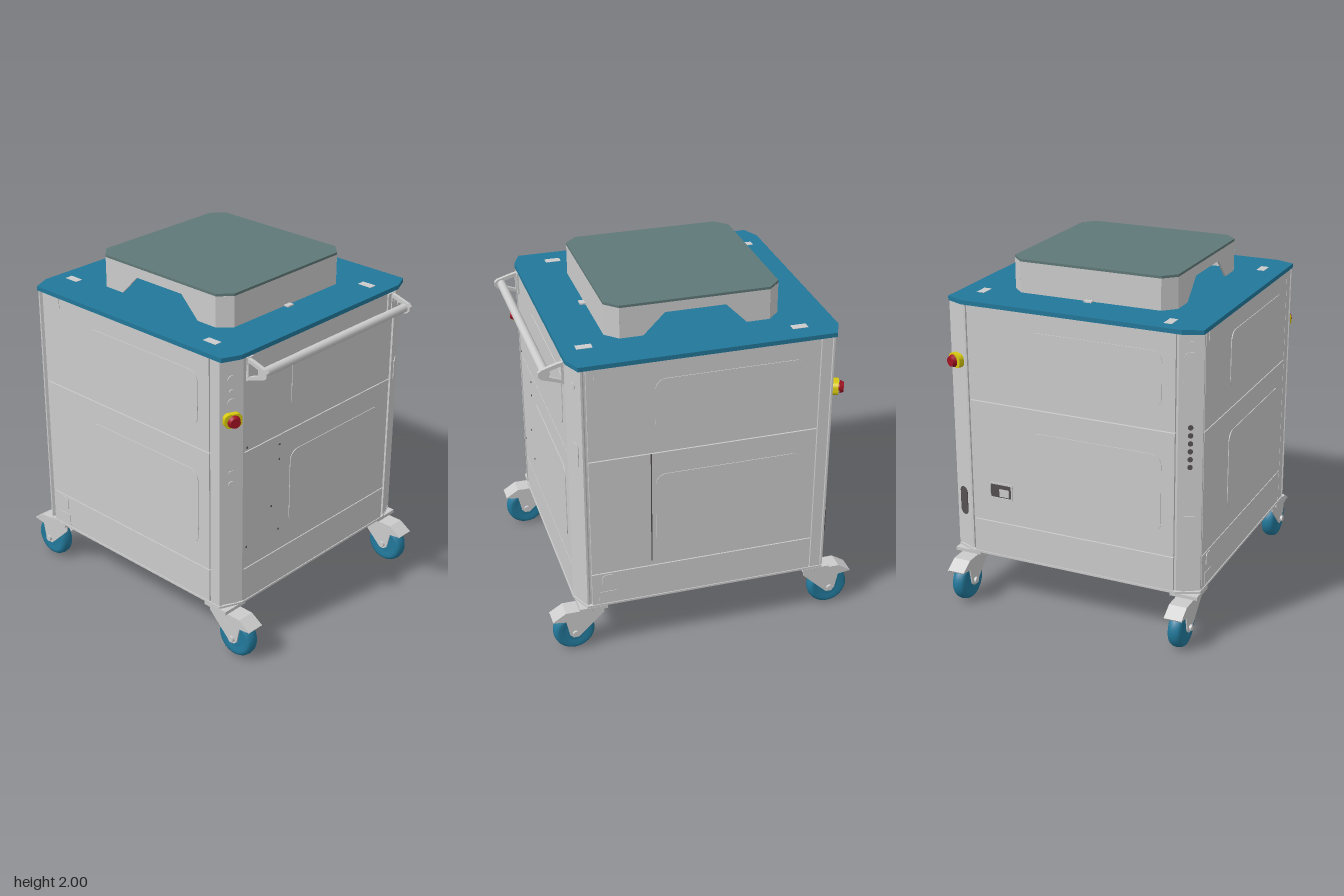
import * as THREE from 'three';

const mat = (color) => new THREE.MeshStandardMaterial({ color });
const GREY = mat(0xcccccc), BLUE = mat(0x22789a), SLATE = mat(0x5f7877);
const YELLOW = mat(0xd6c810), RED = mat(0xa01222), DARK = mat(0x555052), WHITE = mat(0xf2f2f2);

function add(parent, name, geometry, material, x = 0, y = 0, z = 0) {
  const m = new THREE.Mesh(geometry, material);
  m.name = name;
  m.position.set(x, y, z);
  parent.add(m);
  return m;
}
function group(parent, name, x = 0, y = 0, z = 0, rotY = 0) {
  const g = new THREE.Group();
  g.name = name;
  g.position.set(x, y, z);
  g.rotation.y = rotY;
  parent.add(g);
  return g;
}
const box = (w, h, d) => new THREE.BoxGeometry(w, h, d);
const poly = (pts) => new THREE.Shape(pts.map(([x, y]) => new THREE.Vector2(x, y)));
const extrude = (shape, depth) =>
  new THREE.ExtrudeGeometry(shape, { depth, bevelEnabled: false, curveSegments: 8 });
// A plan outline given as [x, z], raised along y
const slab = (pts, h) => extrude(poly(pts.map(([x, z]) => [x, -z])), h).rotateX(-Math.PI / 2);
// Outline in [z, y], thickness t centred on x
const sidePlate = (shape, t) => extrude(shape, t).translate(0, 0, -t / 2).rotateY(-Math.PI / 2);

function roundRect(w, h, r) {
  const s = new THREE.Shape(), a = w / 2, b = h / 2;
  s.absarc(a - r, b - r, r, 0, Math.PI / 2);
  s.absarc(-a + r, b - r, r, Math.PI / 2, Math.PI);
  s.absarc(-a + r, -b + r, r, Math.PI, Math.PI * 1.5);
  s.absarc(a - r, -b + r, r, Math.PI * 1.5, Math.PI * 2);
  s.closePath();
  return s;
}
// Square outline with cut corners: half size a, cut starts at b along x and c along z
const cutSquare = (a, b, c) => [[b, a], [a, c], [a, -c], [b, -a], [-b, -a], [-a, -c], [-a, c], [-b, a]];
// Cylinder standing on the local z = 0 plane
const disc = (r, d, r2 = r) => new THREE.CylinderGeometry(r2, r, d, 28).rotateX(Math.PI / 2).translate(0, 0, d / 2);

// One clad face: u runs to the right, local z is outwards
function cladding(parent, name, rotY, u0, u1, embossL, embossR) {
  const g = group(parent, name, 0, 0, 0, rotY);
  for (const [y0, y1] of [[0.31, 0.51], [0.516, 1.234], [1.24, 1.785]])
    add(g, 'panel', box(u1 - u0, y1 - y0, 0.02), GREY, (u0 + u1) / 2, (y0 + y1) / 2, 0.74);
  for (const [y0, y1] of [[0.64, 1.1], [1.36, 1.68]])
    add(g, 'embossedField', extrude(roundRect(embossR - embossL, y1 - y0, 0.06), 0.004), GREY,
      (embossL + embossR) / 2, (y0 + y1) / 2, 0.75);
  return g;
}

function caster(parent, sx, sz) {
  const g = group(parent, 'caster', sx * 0.675, 0, 0);
  const zs = (pts) => pts.map(([z, y]) => [sz * z, y]);
  add(g, 'mountingPlate', box(0.16, 0.02, 0.16), GREY, 0, 0.287, sz * 0.665);
  add(g, 'swivel', new THREE.CylinderGeometry(0.065, 0.05, 0.03, 28), GREY, 0, 0.264, sz * 0.665);
  const cheek = poly(zs([[0.6, 0.262], [0.82, 0.262], [0.895, 0.215], [0.82, 0.205], [0.8, 0.11],
    [0.78, 0.092], [0.75, 0.092], [0.725, 0.115], [0.6, 0.235]]));
  for (const s of [-1, 1]) {
    add(g, 'forkCheek', sidePlate(cheek, 0.008), GREY, s * 0.048);
    add(g, 'axleNut', new THREE.CylinderGeometry(0.018, 0.018, 0.016, 16).rotateZ(Math.PI / 2), GREY,
      s * 0.058, 0.12, sz * 0.768);
  }
  const roof = poly(zs([[0.6, 0.265], [0.82, 0.265], [0.895, 0.218], [0.89, 0.21], [0.818, 0.255], [0.6, 0.255]]));
  add(g, 'forkRoof', sidePlate(roof, 0.104), GREY);
  const profile = [[0.06, -0.035], [0.09, -0.04], [0.106, -0.036], [0.116, -0.022], [0.12, 0],
    [0.116, 0.022], [0.106, 0.036], [0.09, 0.04], [0.06, 0.035]].map(([r, h]) => new THREE.Vector2(r, h));
  add(g, 'tyre', new THREE.LatheGeometry(profile, 40).rotateZ(Math.PI / 2), BLUE, 0, 0.12, sz * 0.768);
  add(g, 'hub', new THREE.CylinderGeometry(0.062, 0.062, 0.066, 28).rotateZ(Math.PI / 2), BLUE, 0, 0.12, sz * 0.768);
}

function stopButton(post) {
  const g = group(post, 'stopButton', 0, 1.455, 0);
  add(g, 'collar', extrude(roundRect(0.1, 0.078, 0.03), 0.03), YELLOW);
  add(g, 'buttonStem', disc(0.022, 0.045), RED);
  add(g, 'buttonCap', disc(0.036, 0.022, 0.028), RED, 0, 0, 0.036);
}

export function createModel() {
  const root = new THREE.Group();
  root.name = 'mobileCabinet';

  // Cabinet core, floor and top
  add(root, 'core', slab(cutSquare(0.735, 0.66, 0.69), 1.475), GREY, 0, 0.31);
  add(root, 'floorPlate', slab(cutSquare(0.755, 0.63, 0.7), 0.012), GREY, 0, 0.298);
  add(root, 'topPlate', slab(cutSquare(0.755, 0.65, 0.71), 0.025), BLUE, 0, 1.785);

  // Inserts in the top plate
  for (const [x, z] of [[-0.54, -0.64], [0.625, -0.54], [-0.63, 0.53], [0.53, 0.625]])
    add(root, 'topInsert', box(0.046, 0.004, 0.088), GREY, x, 1.81, z);
  for (const s of [-1, 1]) add(root, 'topTab', box(0.046, 0.012, 0.032), GREY, 0, 1.812, s * 0.505);

  // Clad faces
  const front = cladding(root, 'frontPanels', 0, -0.62, 0.615, -0.25, 0.54);
  const back = cladding(root, 'backPanels', Math.PI, -0.62, 0.615, -0.25, 0.54);
  const faces = [cladding(root, 'leftPanels', Math.PI / 2, -0.67, 0.62, -0.3, 0.54),
    cladding(root, 'rightPanels', -Math.PI / 2, -0.67, 0.62, -0.3, 0.54)];
  for (const f of faces) {
    add(f, 'edgeStrip', box(0.07, 1.475, 0.02), GREY, 0.662, 1.0475, 0.739);
    for (const y of [0.355, 1.755])
      add(f, 'cornerPlate', box(0.1, y > 1 ? 0.06 : 0.07, 0.004), GREY, -0.58, y, 0.751);
    add(f, 'sidePort', extrude(roundRect(0.07, 0.08, 0.02), 0.004), GREY, -0.575, 0.46, 0.75);
  }
  add(faces[0], 'doorSeam', box(0.006, 0.69, 0.003), DARK, -0.325, 0.89, 0.75);
  const inlet = group(back, 'powerInlet', -0.44, 0.71, 0.75);
  const frame = roundRect(0.15, 0.1, 0.012);
  frame.holes.push(roundRect(0.13, 0.08, 0.008));
  add(inlet, 'inletFrame', extrude(frame, 0.006), GREY);
  add(inlet, 'inletRecess', box(0.13, 0.08, 0.002), DARK);
  add(inlet, 'inletSocket', box(0.06, 0.045, 0.006), GREY, 0.02, -0.01, 0.002);
  for (const [x, y] of [[-0.34, 1.18], [-0.34, 1.09], [-0.4, 0.82], [-0.34, 0.65], [-0.6, 1.26], [-0.6, 0.65]])
    add(front, 'panelScrew', disc(0.006, 0.003), DARK, x, y, 0.75);

  // Angled corner posts
  const posts = {};
  for (const sx of [-1, 1]) for (const sz of [-1, 1]) {
    const plan = [[0.625, 0.755], [0.635, 0.755], [0.755, 0.7], [0.755, 0.69], [0.7, 0.66], [0.625, 0.7]];
    add(root, 'cornerPost', slab(plan.map(([x, z]) => [x * sx, z * sz]), 1.465), GREY, 0, 0.32);
    posts[`${sx},${sz}`] = group(root, 'postFittings', sx * 0.695, 0, sz * 0.7275,
      Math.atan2(sx * 0.417, sz * 0.909));
  }
  const slot = (post, name, y, w, h, material = GREY) =>
    add(post, name, extrude(roundRect(w, h, Math.min(w, h) * 0.45), 0.004), material, 0, y, 0);
  const control = posts['-1,1'], backRight = posts['1,-1'], plain = posts['1,1'], service = posts['-1,-1'];
  stopButton(control);
  stopButton(backRight);
  for (const [y, r] of [[1.68, 0.022], [1.61, 0.014], [1.55, 0.022], [1.07, 0.018]])
    add(control, 'indicator', disc(r, 0.006), WHITE, 0, y);
  slot(control, 'switch', 1.14, 0.03, 0.02);
  add(plain, 'lock', disc(0.02, 0.005), GREY, 0, 1.68);
  slot(plain, 'gripInsert', 1.27, 0.065, 0.15);
  slot(backRight, 'gripInsert', 0.6, 0.065, 0.17, DARK);
  add(service, 'lock', disc(0.02, 0.005), GREY, 0, 1.73);
  slot(service, 'gripInsert', 1.52, 0.08, 0.34);
  for (let i = 0; i < 6; i++) add(service, 'connector', disc(0.014, 0.006), DARK, 0, 1.05 + i * 0.045);
  for (const x of [-0.02, 0.02]) for (const y of [0.84, 0.91])
    add(service, 'dataSocket', box(0.026, 0.05, 0.006), WHITE, x, y, 0.002);
  add(service, 'mainsSocket', box(0.06, 0.13, 0.006), GREY, 0, 0.7, 0.002);

  // Push handle with looped triangular brackets
  const loop = poly([[0.745, 1.78], [0.79, 1.77], [0.87, 1.745], [0.887, 1.73], [0.887, 1.705],
    [0.87, 1.69], [0.79, 1.665], [0.745, 1.65]]);
  loop.holes.push(poly([[0.765, 1.755], [0.765, 1.675], [0.83, 1.7], [0.83, 1.735]]));
  const handle = group(root, 'pushHandle');
  for (const s of [-1, 1]) {
    add(handle, 'handleBracket', sidePlate(loop, 0.022), GREY, s * 0.598);
    add(handle, 'bracketFoot', box(0.05, 0.13, 0.01), GREY, s * 0.585, 1.715, 0.754);
  }
  add(handle, 'handleBar', new THREE.CylinderGeometry(0.025, 0.025, 1.2, 28).rotateZ(Math.PI / 2), GREY, 0, 1.717, 0.848);

  // Hollow pedestal, open from side to side under its lid
  const pedestal = group(root, 'pedestal', 0, 1.81, 0);
  add(pedestal, 'lid', slab(cutSquare(0.49, 0.42, 0.42), 0.014), SLATE, 0, 0.176);
  const wallShape = poly([[-0.42, 0], [-0.29, 0], [-0.17, 0.12], [0.17, 0.12], [0.29, 0], [0.42, 0],
    [0.42, 0.176], [-0.42, 0.176]]);
  for (const s of [-1, 1]) {
    add(pedestal, 'endWall', box(0.84, 0.176, 0.012), GREY, 0, 0.088, s * 0.484);
    add(pedestal, 'archedWall', sidePlate(wallShape, 0.012), GREY, s * 0.484);
    for (const t of [-1, 1]) {
      const w = add(pedestal, 'cornerWall', box(0.099, 0.176, 0.012), GREY, s * 0.451, 0.088, t * 0.451);
      w.rotation.y = Math.atan2(s, t);
    }
  }

  // Pinwheel of covers under the floor
  const cover = (w, h) => extrude(roundRect(w, h, 0.04), 0.004).rotateX(Math.PI / 2);
  add(root, 'floorCover', cover(0.48, 0.48), GREY, 0, 0.298, 0);
  for (let i = 0; i < 4; i++) {
    const g = group(root, 'floorCoverArm', 0, 0.298, 0, i * Math.PI / 2);
    add(g, 'floorCover', cover(0.89, 0.38), GREY, -0.205, 0, 0.46);
  }

  for (const sx of [-1, 1]) for (const sz of [-1, 1]) caster(root, sx, sz);
  return root;
}
